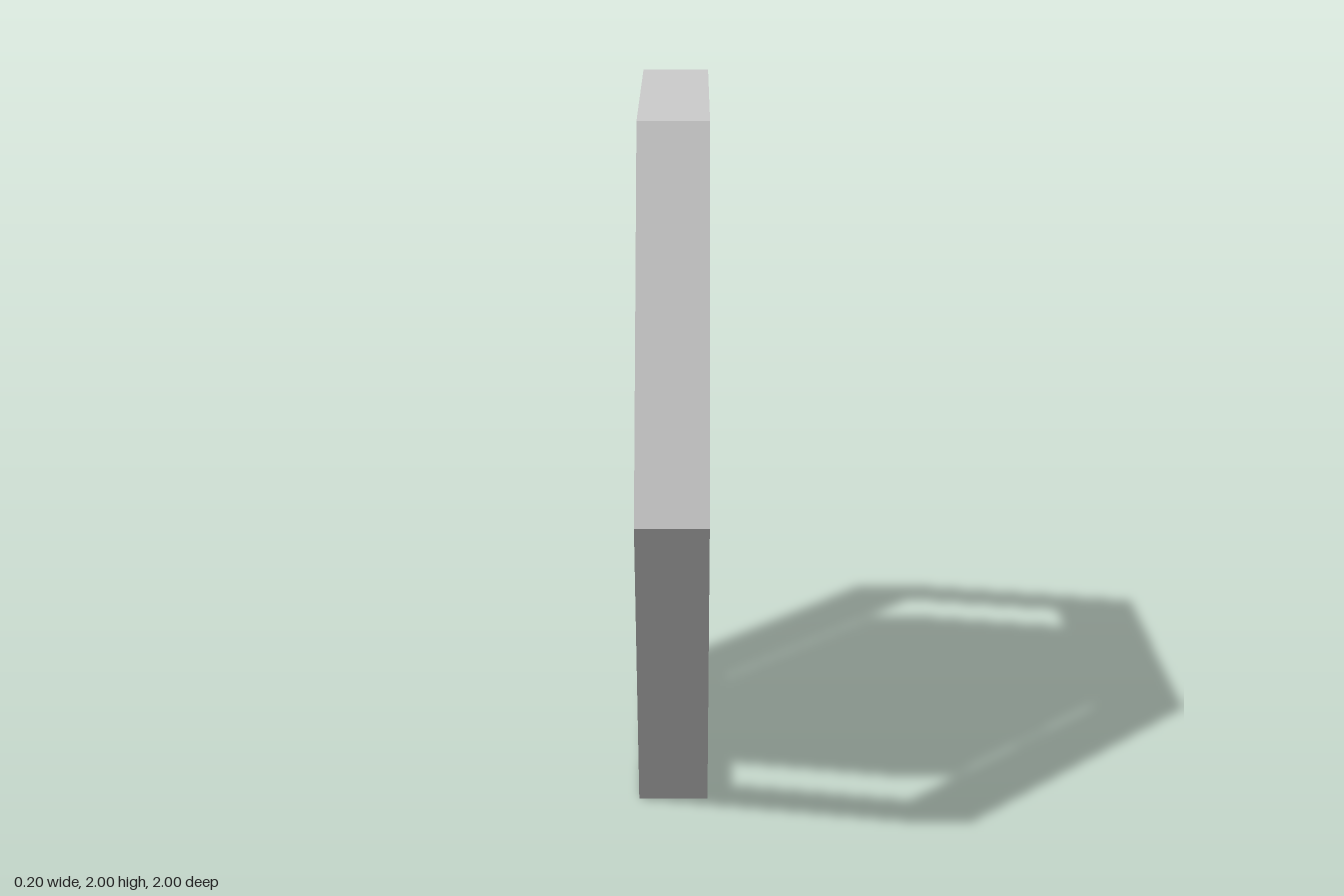
import * as THREE from 'three';

const material = new THREE.MeshStandardMaterial({ color: 0xcccccc, flatShading: true });

// Prism from a [z, y] outline, extruded along x and centred on x = 0
function prism(name, outline, thickness) {
  const shape = new THREE.Shape(outline.map(([z, y]) => new THREE.Vector2(-z, y)));
  const geometry = new THREE.ExtrudeGeometry(shape, { depth: thickness, bevelEnabled: false });
  geometry.translate(0, 0, -thickness / 2).rotateY(Math.PI / 2);
  const mesh = new THREE.Mesh(geometry, material);
  mesh.name = name;
  return mesh;
}

// Hexagon corners as [z, y], counted from the front point over the top
const hexagon = (point, side, height) => [
  [point, 1], [side, 1 + height], [-side, 1 + height],
  [-point, 1], [-side, 1 - height], [side, 1 - height],
];

// Point on a hexagon's perimeter: whole part = corner, fraction = way along the edge
function along(hex, t) {
  const i = Math.floor(t), f = t - i;
  const a = hex[i % 6], b = hex[(i + 1) % 6];
  return [a[0] + (b[0] - a[0]) * f, a[1] + (b[1] - a[1]) * f];
}

// Stretch of perimeter from one cut to the next, with the corners between
function stretch(hex, from, to) {
  const points = [along(hex, from)];
  for (let k = Math.floor(from) + 1; k < to; k++) points.push(hex[k % 6]);
  points.push(along(hex, to));
  return points;
}

export function createModel() {
  const model = new THREE.Group();
  model.name = 'fracturedHexagon';

  // Outer frame, broken into pieces at [outer, inner] perimeter positions
  const frame = new THREE.Group();
  frame.name = 'frame';
  const outer = hexagon(1, 0.5, 1);
  const inner = hexagon(0.89, 0.44, 0.9);
  const cuts = [
    [0.53, 0.53], [1.32, 1.22], [1.59, 1.67], [1.77, 1.84], [2.2, 2.06], [2.52, 2.56],
    [3.5, 3.54], [4.26, 4.23], [4.89, 4.92], [5.4, 5.36], [5.88, 5.9],
  ];
  cuts.forEach(([o, n], i) => {
    const [o2, n2] = i + 1 < cuts.length ? cuts[i + 1] : cuts[0].map((t) => t + 6);
    const outline = [...stretch(outer, o, o2), ...stretch(inner, n, n2).reverse()];
    frame.add(prism(`framePiece${i + 1}`, outline, 0.2));
  });

  // Thinner centre panel, broken into shards
  const panel = new THREE.Group();
  panel.name = 'panel';
  const hex = hexagon(0.69, 0.345, 0.69);
  // Crack junctions inside the panel
  const A = [0.32, 1.145], B = [-0.24, 1.18], C = [-0.21, 1.05], D = [0.2, 0.87], E = [0.37, 1.02];
  // Where the cracks reach the rim
  const [e, a, b, c, d] = [0.04, 0.41, 2.47, 3.61, 4.41].map((t) => along(hex, t));
  const shards = {
    topShard: [a, hex[1], hex[2], b, B, A],
    backShard: [b, hex[3], c, C, B],
    lowerBackShard: [c, hex[4], d, D, C],
    lowerFrontShard: [d, hex[5], hex[0], e, E, D],
    frontShard: [e, a, A, E],
    centreShard: [A, B, C, D, E],
  };
  for (const [name, outline] of Object.entries(shards)) panel.add(prism(name, outline, 0.14));

  model.add(frame, panel);
  return model;
}
